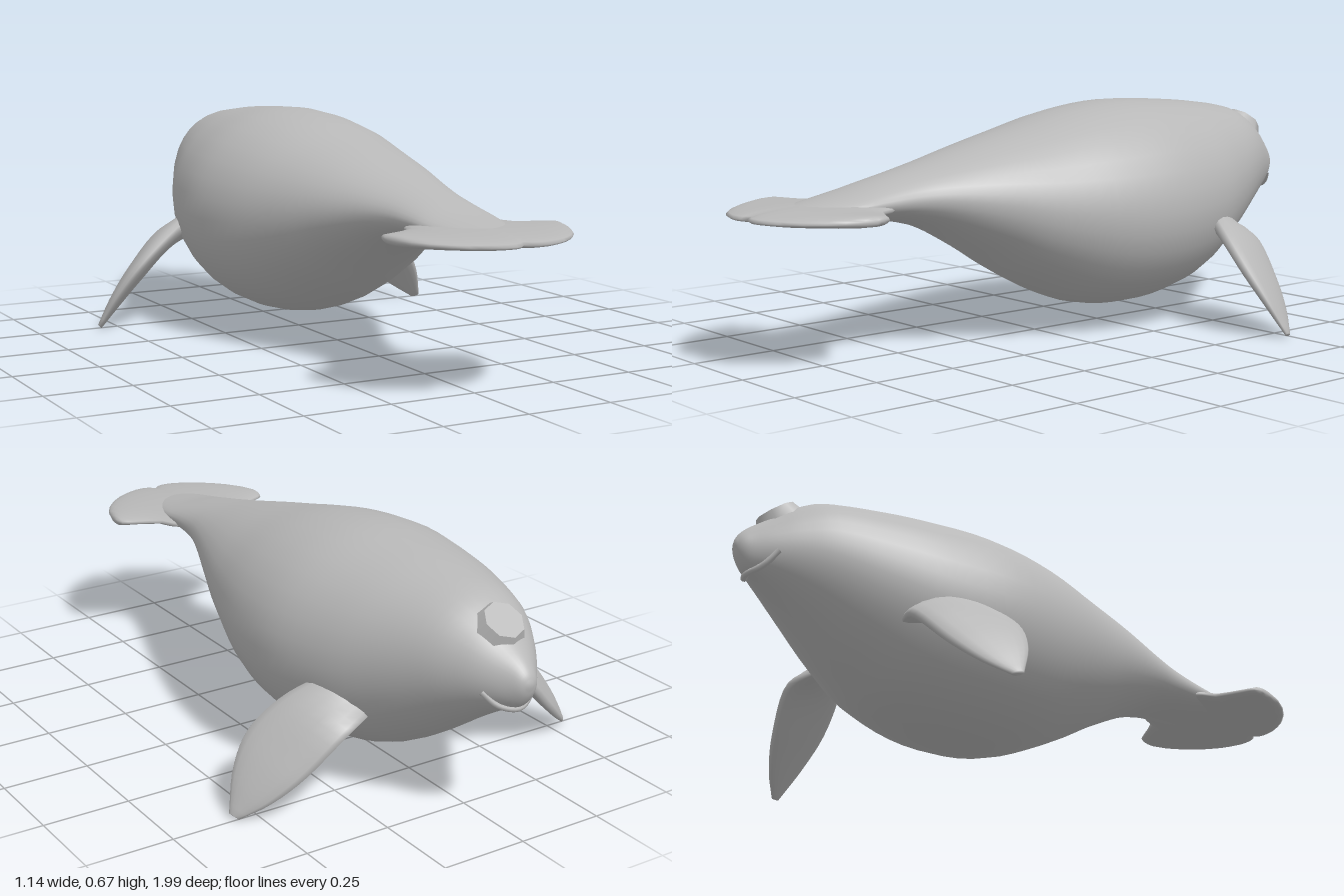
import * as THREE from 'three';

// Skins a list of closed rings (arrays of Vector3) and caps both ends.
function loft(rings, flip = false) {
  const n = rings[0].length, pos = [], idx = [];
  const tri = (a, b, c) => (flip ? idx.push(a, c, b) : idx.push(a, b, c));
  for (const r of rings) for (const p of r) pos.push(p.x, p.y, p.z);
  for (let i = 0; i < rings.length - 1; i++) {
    for (let j = 0; j < n; j++) {
      const a = i * n + j, b = i * n + ((j + 1) % n);
      tri(a, b, a + n);
      tri(b, b + n, a + n);
    }
  }
  for (const [k, last] of [[0, false], [rings.length - 1, true]]) {
    const c = new THREE.Vector3();
    rings[k].forEach((p) => c.addScaledVector(p, 1 / n));
    const ci = pos.length / 3;
    pos.push(c.x, c.y, c.z);
    for (let j = 0; j < n; j++) {
      const a = k * n + j, b = k * n + ((j + 1) % n);
      if (last) tri(a, b, ci); else tri(b, a, ci);
    }
  }
  const g = new THREE.BufferGeometry();
  g.setAttribute('position', new THREE.Float32BufferAttribute(pos, 3));
  g.setIndex(idx);
  g.computeVertexNormals();
  return g;
}

const V = (x, y, z) => new THREE.Vector3(x, y, z);
const spline = (pts) => new THREE.CatmullRomCurve3(pts, false, 'catmullrom', 0.5);

// Body: oval sections along z, from snout to tail stock.
function bodyGeometry() {
  // z, half width, top, bottom
  const rows = [
    [-1.0, 0.008, 0.455, 0.44], [-0.99, 0.028, 0.478, 0.41], [-0.965, 0.05, 0.505, 0.378],
    [-0.92, 0.087, 0.54, 0.355], [-0.86, 0.13, 0.59, 0.32], [-0.78, 0.18, 0.633, 0.268],
    [-0.65, 0.245, 0.655, 0.18], [-0.5, 0.305, 0.67, 0.1], [-0.3, 0.345, 0.68, 0.065],
    [-0.1, 0.33, 0.66, 0.085], [0.1, 0.275, 0.615, 0.175], [0.25, 0.222, 0.58, 0.265],
    [0.4, 0.165, 0.543, 0.345], [0.5, 0.135, 0.52, 0.378], [0.6, 0.122, 0.497, 0.395],
    [0.7, 0.115, 0.473, 0.407], [0.82, 0.08, 0.452, 0.416], [0.9, 0.03, 0.44, 0.422],
  ];
  const size = spline(rows.map(([, w, t, b]) => V(w, t, b)));
  const along = spline(rows.map(([z]) => V(0, 0, z)));
  const rings = [], steps = 68, sides = 32;
  for (let i = 0; i <= steps; i++) {
    const s = size.getPoint(i / steps), z = along.getPoint(i / steps).z;
    const ring = [];
    for (let j = 0; j < sides; j++) {
      const a = (j / sides) * Math.PI * 2;
      ring.push(V(s.x * Math.cos(a), (s.y + s.z) / 2 + ((s.y - s.z) / 2) * Math.sin(a), z));
    }
    rings.push(ring);
  }
  return loft(rings);
}

// Blade ring: a flat oval from a leading to a trailing edge point.
function bladeRing(lead, trail, up, half, sides = 16) {
  const ring = [];
  const mid = lead.clone().add(trail).multiplyScalar(0.5);
  const chord = trail.clone().sub(lead).multiplyScalar(0.5);
  for (let j = 0; j < sides; j++) {
    const a = (j / sides) * Math.PI * 2;
    ring.push(mid.clone().addScaledVector(chord, Math.cos(a)).addScaledVector(up, half * Math.sin(a)));
  }
  return ring;
}

// Fluke: rounded paddle with a small notch in the trailing edge.
function flukeGeometry() {
  // x, leading z, trailing z, half thickness
  const half = [
    [0, 0.55, 0.968, 0.022], [0.016, 0.55, 0.985, 0.022], [0.035, 0.55, 0.992, 0.022],
    [0.065, 0.555, 0.99, 0.021], [0.1, 0.57, 0.977, 0.02], [0.128, 0.6, 0.962, 0.019],
    [0.145, 0.642, 0.95, 0.018], [0.18, 0.664, 0.92, 0.017], [0.215, 0.682, 0.877, 0.016],
    [0.24, 0.695, 0.832, 0.015], [0.255, 0.705, 0.785, 0.013], [0.262, 0.725, 0.75, 0.007],
  ];
  const all = [...half.slice(1).reverse().map(([x, ...r]) => [-x, ...r]), ...half];
  const rings = all.map(([x, l, t, h]) => bladeRing(V(x, 0.432, l), V(x, 0.43, t), V(0, 1, 0), h, 20));
  return loft(rings, true);
}

// Flipper: swept blade angled down and out; side is 1 or -1.
function flipperGeometry(side) {
  const lead = spline([V(0.2, 0.27, -0.6), V(0.3, 0.24, -0.635), V(0.41, 0.135, -0.605),
    V(0.49, 0.062, -0.56), V(0.555, 0.012, -0.505)]);
  const trail = spline([V(0.23, 0.36, -0.48), V(0.36, 0.29, -0.42), V(0.46, 0.21, -0.4),
    V(0.525, 0.12, -0.425), V(0.568, 0.02, -0.475)]);
  const up = V(0.68 * side, 0.7, -0.2);
  const rings = [], steps = 18;
  for (let i = 0; i <= steps; i++) {
    const t = i / steps;
    const a = lead.getPoint(t), b = trail.getPoint(t);
    a.x *= side;
    b.x *= side;
    rings.push(bladeRing(a, b, up, 0.036 * (1 - 0.8 * t * t)));
  }
  return loft(rings, side > 0);
}

export function createModel() {
  const model = new THREE.Group();
  const skin = new THREE.MeshStandardMaterial({ color: 0xb8b8b8 });
  skin.name = 'greySkin';
  const add = (name, geometry) => {
    const mesh = new THREE.Mesh(geometry, skin);
    mesh.name = name;
    model.add(mesh);
    return mesh;
  };

  add('body', bodyGeometry());
  add('tailFluke', flukeGeometry());
  add('leftFlipper', flipperGeometry(1));
  add('rightFlipper', flipperGeometry(-1));

  // Raised pad on the forehead
  const pad = add('foreheadPad', new THREE.CylinderGeometry(0.056, 0.072, 0.035, 8));
  pad.position.set(0, 0.573, -0.877);
  pad.rotation.x = -0.64;

  // Mouth crease wrapped under the snout
  const lip = new THREE.CatmullRomCurve3([V(0.085, 0.42, -0.912), V(0.05, 0.383, -0.937),
    V(0, 0.37, -0.957), V(-0.05, 0.383, -0.937), V(-0.085, 0.42, -0.912)]);
  add('mouthLip', new THREE.TubeGeometry(lip, 20, 0.009, 8));

  return model;
}
